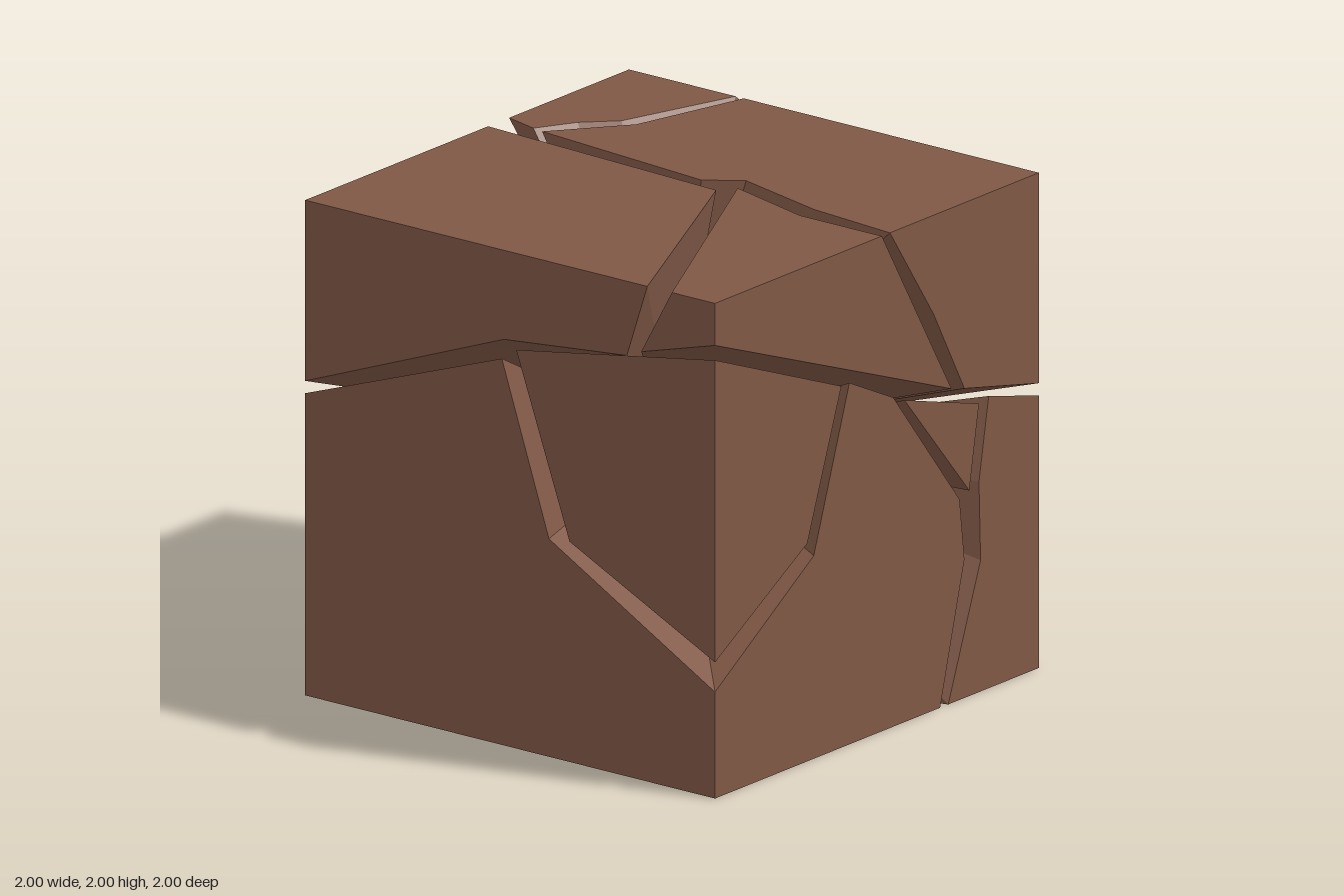
import * as THREE from 'three';

const CENTRE = [0, 1, 0];

// Each cube side: maps (u, v) to 3D, and says whether u x v points outward
const SIDES = {
  front: { at: (x, y) => [x, y, 1], outward: true },
  back: { at: (x, y) => [x, y, -1], outward: false },
  right: { at: (z, y) => [1, y, z], outward: false },
  left: { at: (z, y) => [-1, y, z], outward: true },
  top: { at: (x, z) => [x, 2, z], outward: false },
  bottom: { at: (x, z) => [x, 0, z], outward: true },
};

// Outlines of each fragment on the cube sides it reaches
const FRAGMENTS = {
  upperFrontChunk: {
    front: [[.08, 2], [.35, 1.6], [.54, 1.25], [1, 1.15], [1, 2]],
    top: [[.08, 1], [.12, .6], [.23, .18], [.13, .04], [.21, -.8], [.5, -.57], [1, -.44], [1, 1]],
    right: [[1, 2], [-.44, 2], [-.02, 1.83], [-.25, .75], [1, 1.15]],
  },
  upperBackChunk: {
    top: [[-1, -1], [.13, -1], [.07, .16], [-.18, .28], [-1, .67]],
    left: [[-1, 2], [.67, 2], [.57, 1.7], [-.03, 1.64], [-1, 1.27]],
    back: [[-1, 2], [.13, 2], [.49, 1.38], [.75, 1.19], [.83, .95], [1, .82], [1, .53], [-.44, 1.18], [-1, 1.27]],
    right: [[-1, .82], [-.55, .785], [-.58, .66], [-1, .53]],
  },
  upperSideChunk: {
    front: [[-1, 2], [.03, 2], [.46, 1.27], [-1, 1.83]],
    top: [[-1, 1], [-1, .79], [.14, .21], [.03, .6], [.03, 1]],
    left: [[1, 2], [.79, 2], [.64, 1.73], [1, 1.83]],
  },
  upperCornerChunk: {
    top: [[.26, -1], [1, -1], [1, -.48], [.5, -.64], [.38, -.76], [.22, -.85]],
    back: [[.26, 2], [.75, 1.28], [1, .86], [1, 2]],
    right: [[-1, 2], [-.48, 2], [-.07, 1.79], [-.3, .77], [-.53, .88], [-1, .86]],
  },
  lowerLargeChunk: {
    front: [[-1, .43], [-.39, .82], [-.17, 1.46], [.1, 1.33], [.51, .81], [.54, .56], [.39, 0], [-1, 0]],
    bottom: [[-1, 1], [.39, 1], [.1, -.06], [-.12, -.53], [-.14, -1], [-1, -1]],
    left: [[1, .43], [.19, .88], [-.04, 1.56], [-1, 1.22], [-1, 0], [1, 0]],
    back: [[-1, 1.22], [.08, .81], [0, .61], [-.13, .245], [-.14, 0], [-1, 0]],
  },
  lowerEndChunk: {
    front: [[.44, 0], [.64, .53], [.63, .85], [.69, 1.18], [1, 1.1], [1, 0]],
    bottom: [[.44, 1], [.13, -.12], [-.06, -.54], [-.09, -1], [1, -1], [1, 1]],
    back: [[-.09, 0], [-.05, .27], [.1, .53], [.16, .73], [1, .49], [1, 0]],
    right: [[1, 1.1], [.27, .84], [-.26, .73], [-1, .49], [-1, 0], [1, 0]],
  },
  lowerSideChunk: {
    front: [[-1, 1.77], [-.22, 1.46], [-.43, .88], [-1, .55]],
    left: [[1, 1.77], [.03, 1.61], [.29, .89], [1, .55]],
  },
  frontSplinter: { front: [[.17, 1.3], [.63, 1.165], [.57, .83]] },
  endSplinter: { right: [[-.27, .735], [-.48, .785], [-.54, .66]] },
};

// True when both points lie on the same cube edge, where the fragment wraps round
function onCubeEdge(a, b, horizontal) {
  const limits = horizontal ? [-1, 1] : [0, 2];
  return (a[0] === b[0] && Math.abs(a[0]) === 1) ||
    (a[1] === b[1] && limits.includes(a[1]));
}

// Outer faces plus crack walls that run in to the cube's centre
function fragmentGeometry(outlines) {
  const pos = [];
  for (const [name, outline] of Object.entries(outlines)) {
    const { at, outward } = SIDES[name];
    const horizontal = name === 'top' || name === 'bottom';
    let pts = outline.map(([u, v]) => new THREE.Vector2(u, v));
    const ccw = !THREE.ShapeUtils.isClockWise(pts);
    // Order corners counter-clockwise as seen from outside
    if (ccw !== outward) pts.reverse();
    const p = pts.map((q) => at(q.x, q.y));
    for (const [a, b, c] of THREE.ShapeUtils.triangulateShape(pts, [])) {
      const area = (pts[b].x - pts[a].x) * (pts[c].y - pts[a].y) -
        (pts[b].y - pts[a].y) * (pts[c].x - pts[a].x);
      const order = (area > 0) === outward ? [a, b, c] : [a, c, b];
      for (const i of order) pos.push(...p[i]);
    }
    for (let i = 0; i < pts.length; i++) {
      const j = (i + 1) % pts.length;
      if (onCubeEdge(pts[i].toArray(), pts[j].toArray(), horizontal)) continue;
      pos.push(...p[j], ...p[i], ...CENTRE);
    }
  }
  const geometry = new THREE.BufferGeometry();
  geometry.setAttribute('position', new THREE.Float32BufferAttribute(pos, 3));
  geometry.computeVertexNormals();
  return geometry;
}

export function createModel() {
  const group = new THREE.Group();
  group.name = 'crackedBlock';
  const earth = new THREE.MeshStandardMaterial({ color: 0x805846 });
  earth.name = 'earth brown';
  for (const [name, outlines] of Object.entries(FRAGMENTS)) {
    const mesh = new THREE.Mesh(fragmentGeometry(outlines), earth);
    mesh.name = name;
    group.add(mesh);
  }
  return group;
}
